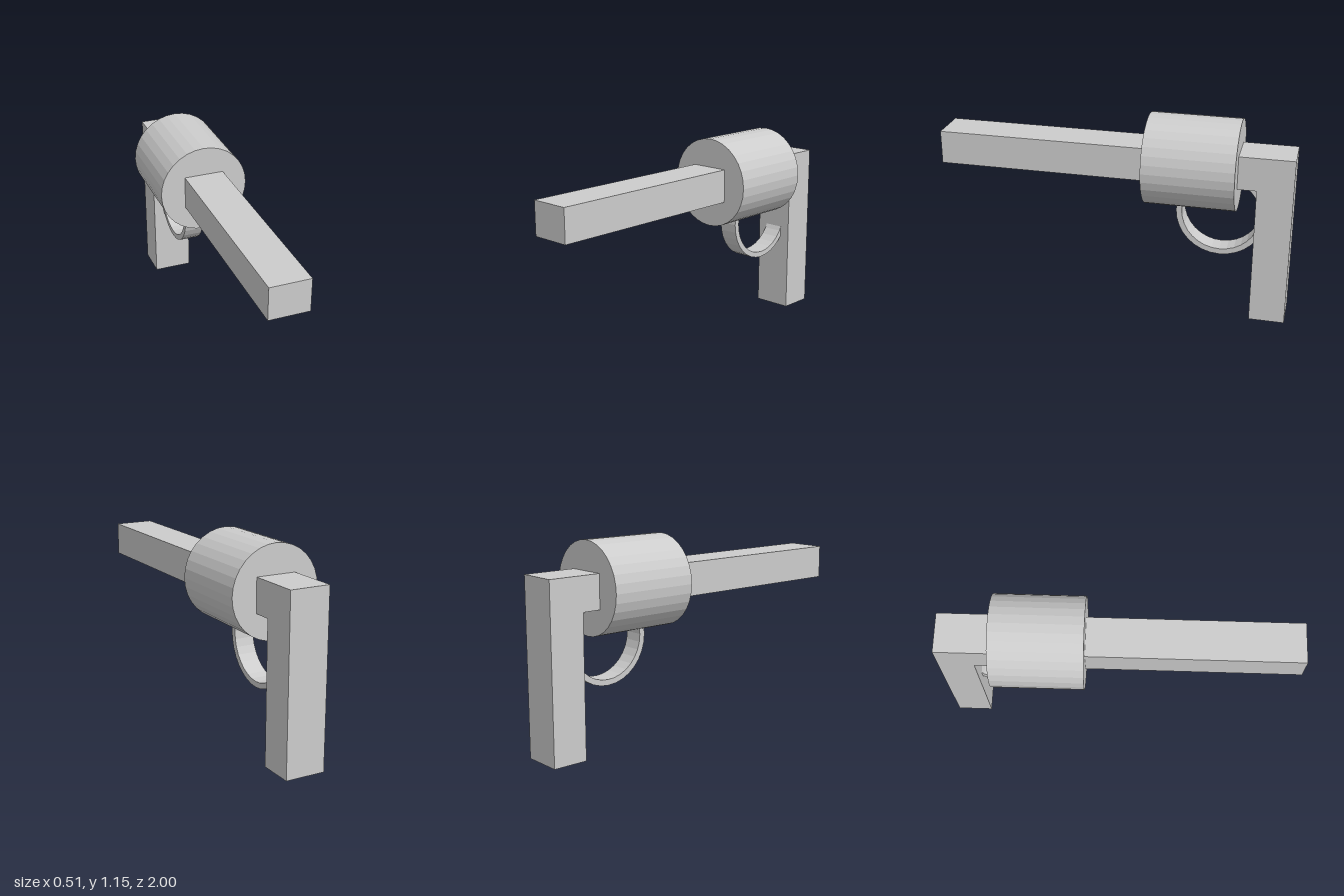
import * as THREE from 'three';

const SIDES = 32;

export function createModel() {
  const model = new THREE.Group();
  const grey = new THREE.MeshStandardMaterial({ color: 0xcccccc, flatShading: true });
  grey.name = 'plain grey';

  const add = (name, geometry, y = 0, z = 0) => {
    const mesh = new THREE.Mesh(geometry, grey);
    mesh.name = name;
    mesh.position.set(0, y, z);
    model.add(mesh);
  };

  // Barrel and grip: one L-shaped side profile (z, y), extruded across x
  const width = 0.228;
  const profile = new THREE.Shape([
    [-1, 0], [-0.8, 0], [-0.8, 0.795], [1, 0.795], [1, 0.985], [-1, 0.985],
  ].map(([z, y]) => new THREE.Vector2(-z, y)));
  const frame = new THREE.ExtrudeGeometry(profile, { depth: width, bevelEnabled: false });
  frame.translate(0, 0, -width / 2).rotateY(Math.PI / 2);
  add('barrelAndGrip', frame);

  // Round drum around the barrel
  const drum = new THREE.CylinderGeometry(0.256, 0.256, 0.508, SIDES).rotateX(Math.PI / 2);
  add('drum', drum, 0.893, -0.441);

  // Trigger guard: flat band ring with its axis along x
  const outer = 0.25, inner = 0.218, half = 0.056;
  const band = [[outer, -half], [outer, half], [inner, half], [inner, -half], [outer, -half]]
    .map(([r, h]) => new THREE.Vector2(r, h));
  const guard = new THREE.LatheGeometry(band, SIDES).rotateZ(Math.PI / 2);
  add('triggerGuard', guard, 0.615, -0.606);

  return model;
}
